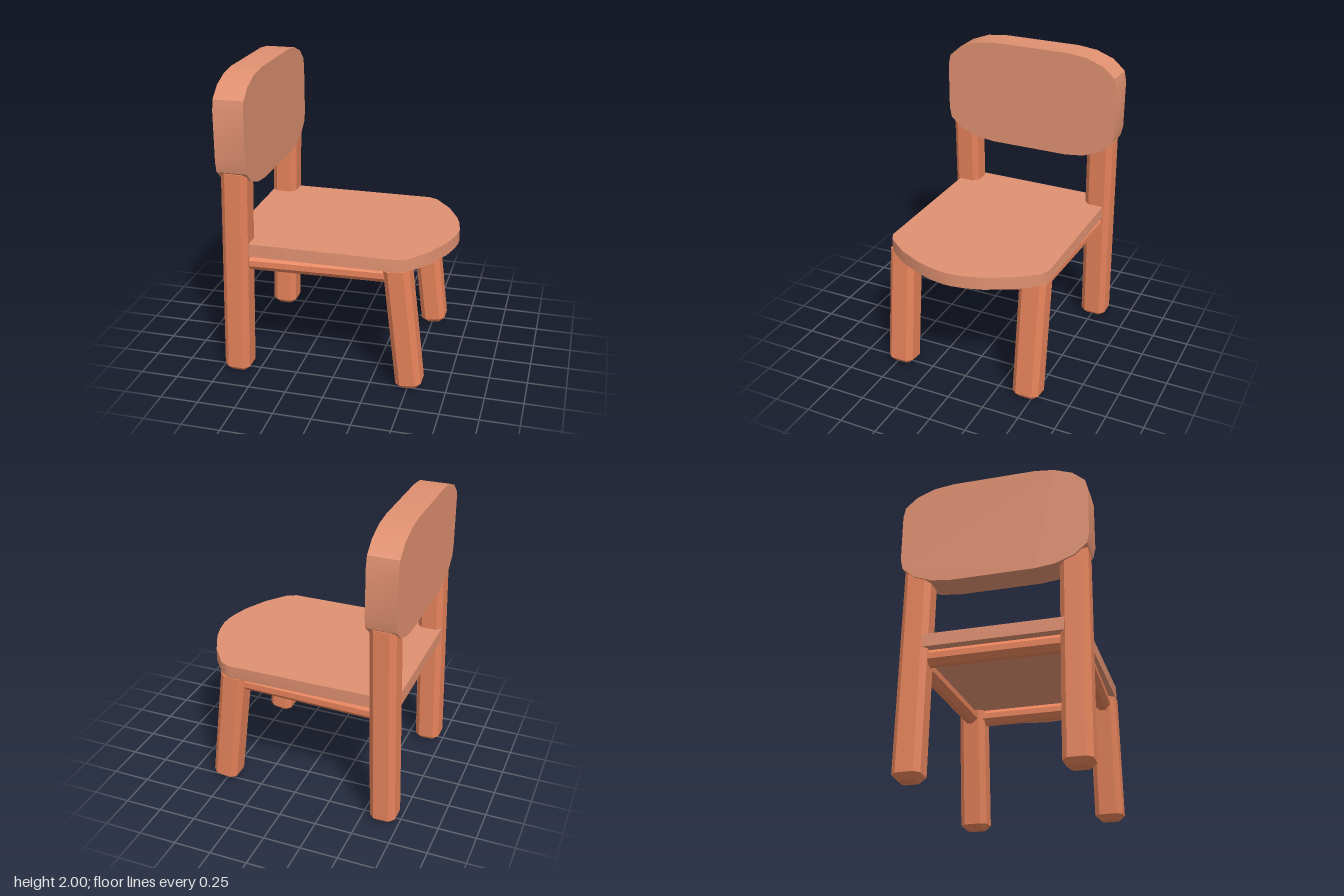
import * as THREE from 'three';
import { toCreasedNormals } from 'three/addons/utils/BufferGeometryUtils.js';

const frameMaterial = new THREE.MeshStandardMaterial({ color: 0xe5825a });
const panelMaterial = new THREE.MeshStandardMaterial({ color: 0xdf9070 });

// Square bar with chamfered edges from point a to point b; footCut bevels the end at a.
function bar(name, a, b, width, depth, chamfer, footCut = 0) {
  const start = new THREE.Vector3(...a), end = new THREE.Vector3(...b);
  const length = start.distanceTo(end);
  const ring = (y, inset) => {
    const x = width / 2 - inset, z = depth / 2 - inset;
    const c = Math.max(chamfer - inset * 0.6, 0.005);
    return [[x, z - c], [x - c, z], [c - x, z], [-x, z - c], [-x, c - z], [c - x, -z], [x - c, -z], [x, c - z]]
      .map(([px, pz]) => new THREE.Vector3(px, y, pz));
  };
  const rings = footCut ? [ring(0, footCut), ring(footCut, 0), ring(length, 0)] : [ring(0, 0), ring(length, 0)];
  const points = [];
  const tri = (...vs) => vs.forEach((v) => points.push(v));
  for (let r = 0; r < rings.length - 1; r++) {
    const lo = rings[r], hi = rings[r + 1];
    for (let i = 0; i < 8; i++) {
      const j = (i + 1) % 8;
      tri(lo[i], hi[j], hi[i]);
      tri(lo[i], lo[j], hi[j]);
    }
  }
  // End caps
  const bottom = rings[0], top = rings[rings.length - 1];
  for (let i = 1; i < 7; i++) {
    tri(bottom[0], bottom[i + 1], bottom[i]);
    tri(top[0], top[i], top[i + 1]);
  }
  // The rings run clockwise seen from above, so each triangle is turned round
  for (let i = 0; i < points.length; i += 3) [points[i + 1], points[i + 2]] = [points[i + 2], points[i + 1]];
  const geometry = new THREE.BufferGeometry().setFromPoints(points);
  orientOutward(geometry, length / 2);
  geometry.computeVertexNormals();
  const mesh = new THREE.Mesh(geometry, frameMaterial);
  mesh.name = name;
  mesh.position.copy(start);
  mesh.quaternion.setFromUnitVectors(new THREE.Vector3(0, 1, 0), end.sub(start).normalize());
  return mesh;
}

// Flip any triangle of a convex bar that faces its middle.
function orientOutward(geometry, midY) {
  const p = geometry.attributes.position;
  const middle = new THREE.Vector3(0, midY, 0);
  for (let i = 0; i < p.count; i += 3) {
    const [a, b, c] = [0, 1, 2].map((k) => new THREE.Vector3().fromBufferAttribute(p, i + k));
    const normal = b.clone().sub(a).cross(c.clone().sub(a));
    if (normal.dot(a.clone().sub(middle)) < 0) {
      p.setXYZ(i + 1, c.x, c.y, c.z);
      p.setXYZ(i + 2, b.x, b.y, b.z);
    }
  }
}

// Flat slab with a soft outline.
function slab(name, outline, thickness) {
  const shape = new THREE.Shape(outline.map(([x, y]) => new THREE.Vector2(x, y)));
  const geometry = new THREE.ExtrudeGeometry(shape, { depth: thickness, bevelEnabled: false });
  const mesh = new THREE.Mesh(toCreasedNormals(geometry, 0.6), panelMaterial);
  mesh.name = name;
  return mesh;
}

export function createModel() {
  const chair = new THREE.Group();
  chair.name = 'chair';

  // Seat: straight at the back, bowed at the front (+x)
  const seatSide = [[-0.7, 0.555], [0.43, 0.555], [0.49, 0.525], [0.6, 0.385], [0.68, 0.22], [0.71, 0.12], [0.725, 0.03]];
  const seat = slab('seat', [...seatSide, ...seatSide.map(([x, z]) => [x, -z]).reverse()], 0.085);
  seat.rotation.x = -Math.PI / 2;
  seat.position.y = 0.84;
  chair.add(seat);

  // Backrest: wide panel with large rounded corners
  const corner = [[0.615, 0.16], [0.6, 0.23], [0.52, 0.3], [0.4, 0.345], [0.27, 0.36]];
  const flip = (sx, sy) => corner.map(([x, y]) => [x * sx, y * sy]);
  const outline = [...corner, ...flip(-1, 1).reverse(), ...flip(-1, -1), ...flip(1, -1).reverse()];
  const backrest = slab('backrest', outline, 0.195);
  backrest.rotation.y = Math.PI / 2;
  backrest.position.set(-0.703, 1.64, 0);
  chair.add(backrest);

  // Legs and side rails, mirrored across z
  for (const [side, s] of [['Left', -1], ['Right', 1]]) {
    chair.add(bar('frontLeg' + side, [0.512, 0.012, s * 0.465], [0.417, 0.838, s * 0.465], 0.168, 0.18, 0.034, 0.034));
    chair.add(bar('backLeg' + side, [-0.643, 0.003, s * 0.507], [-0.605, 1.4, s * 0.507], 0.17, 0.18, 0.034, 0.034));
    chair.add(bar('sideRail' + side, [-0.6, 0.788, s * 0.5], [0.42, 0.788, s * 0.468], 0.106, 0.106, 0.034));
  }

  // Cross rails under the seat
  chair.add(bar('frontRail', [0.415, 0.788, -0.45], [0.415, 0.788, 0.45], 0.106, 0.106, 0.034));
  chair.add(bar('backRail', [-0.62, 0.788, -0.49], [-0.62, 0.788, 0.49], 0.106, 0.106, 0.034));

  return chair;
}
